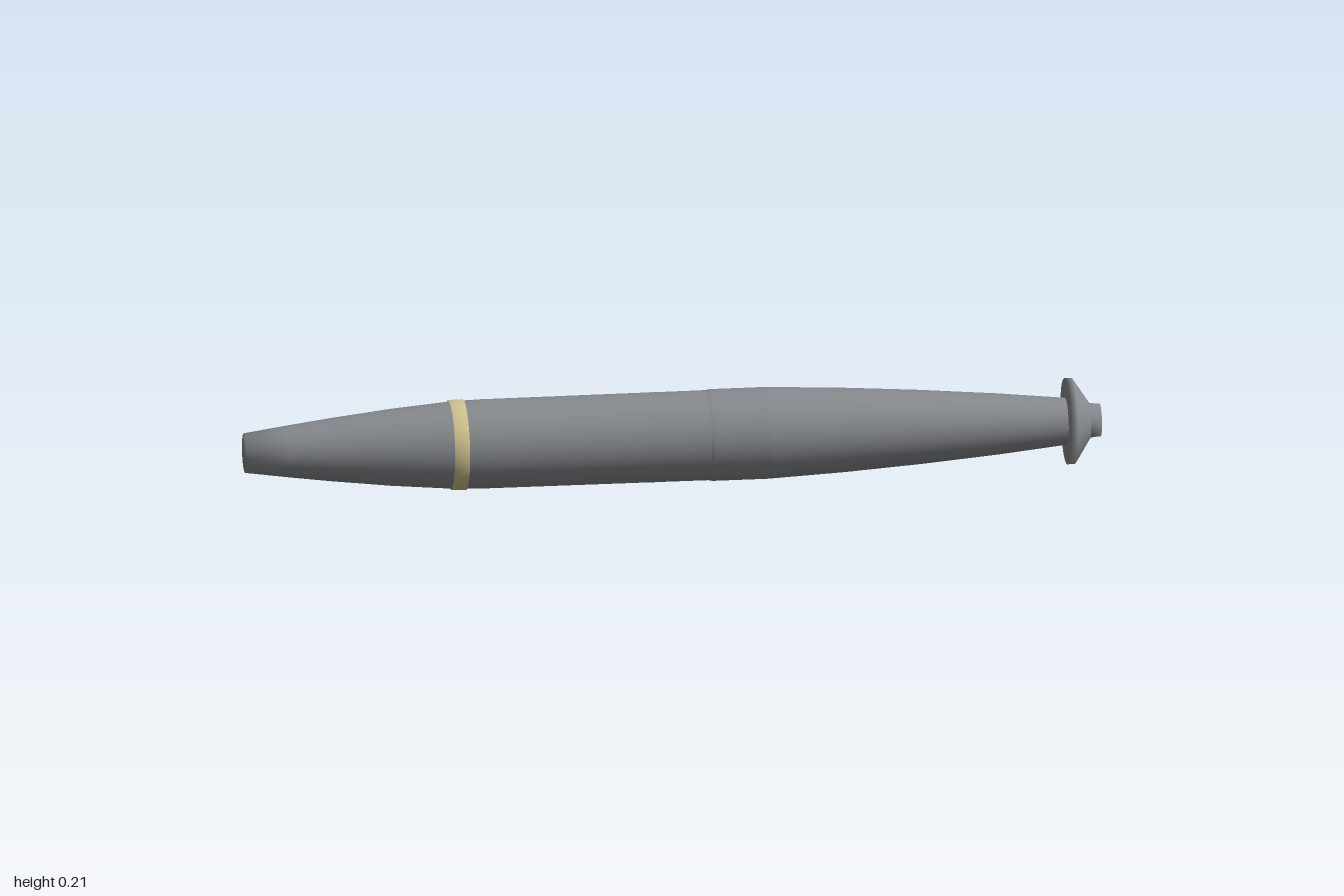
import * as THREE from 'three';

const AXIS_HEIGHT = 0.1065;

export function createModel() {
  const model = new THREE.Group();
  model.name = 'shell';

  const grey = new THREE.MeshStandardMaterial({ color: 0x868a8e });
  grey.name = 'grey steel';
  const tan = new THREE.MeshStandardMaterial({ color: 0xd0c48e });
  tan.name = 'pale yellow';

  // Turned part along x; profile is a list of [x, radius] from -x to +x
  function turned(name, profile, material) {
    const points = profile.map(([x, r]) => new THREE.Vector2(r, x));
    const geometry = new THREE.LatheGeometry(points, 64);
    geometry.rotateZ(-Math.PI / 2);
    const mesh = new THREE.Mesh(geometry, material);
    mesh.name = name;
    mesh.position.y = AXIS_HEIGHT;
    model.add(mesh);
  }

  // Tapered tail with a flat end
  turned('tail', [
    [-1, 0], [-1, 0.046], [-0.9, 0.06], [-0.8, 0.073], [-0.66, 0.089],
    [-0.52, 0.101], [-0.45, 0.1035],
  ], grey);

  // Coloured band behind the body
  turned('band', [
    [-0.521, 0.099], [-0.52, 0.1045], [-0.486, 0.1055], [-0.485, 0.1],
  ], tan);

  // Straight body with a thin raised seam and a slightly wider shoulder
  turned('body', [[-0.45, 0.1035], [0.08, 0.1045]], grey);
  turned('seam', [[-0.075, 0.104], [-0.045, 0.1046]], grey);
  turned('shoulder', [[0.08, 0.1045], [0.09, 0.1065], [0.22, 0.1065]], grey);

  // Long curved taper towards the flange
  turned('nose', [
    [0.22, 0.1065], [0.4, 0.098], [0.58, 0.086], [0.76, 0.071], [0.925, 0.054],
  ], grey);

  // Wide flange that cones down to the stub
  turned('flange', [
    [0.92, 0], [0.92, 0.1], [0.937, 0.1], [0.975, 0.042],
  ], grey);

  // End stub
  turned('stub', [[0.97, 0.042], [0.976, 0.04], [1, 0.038], [1, 0]], grey);

  return model;
}
